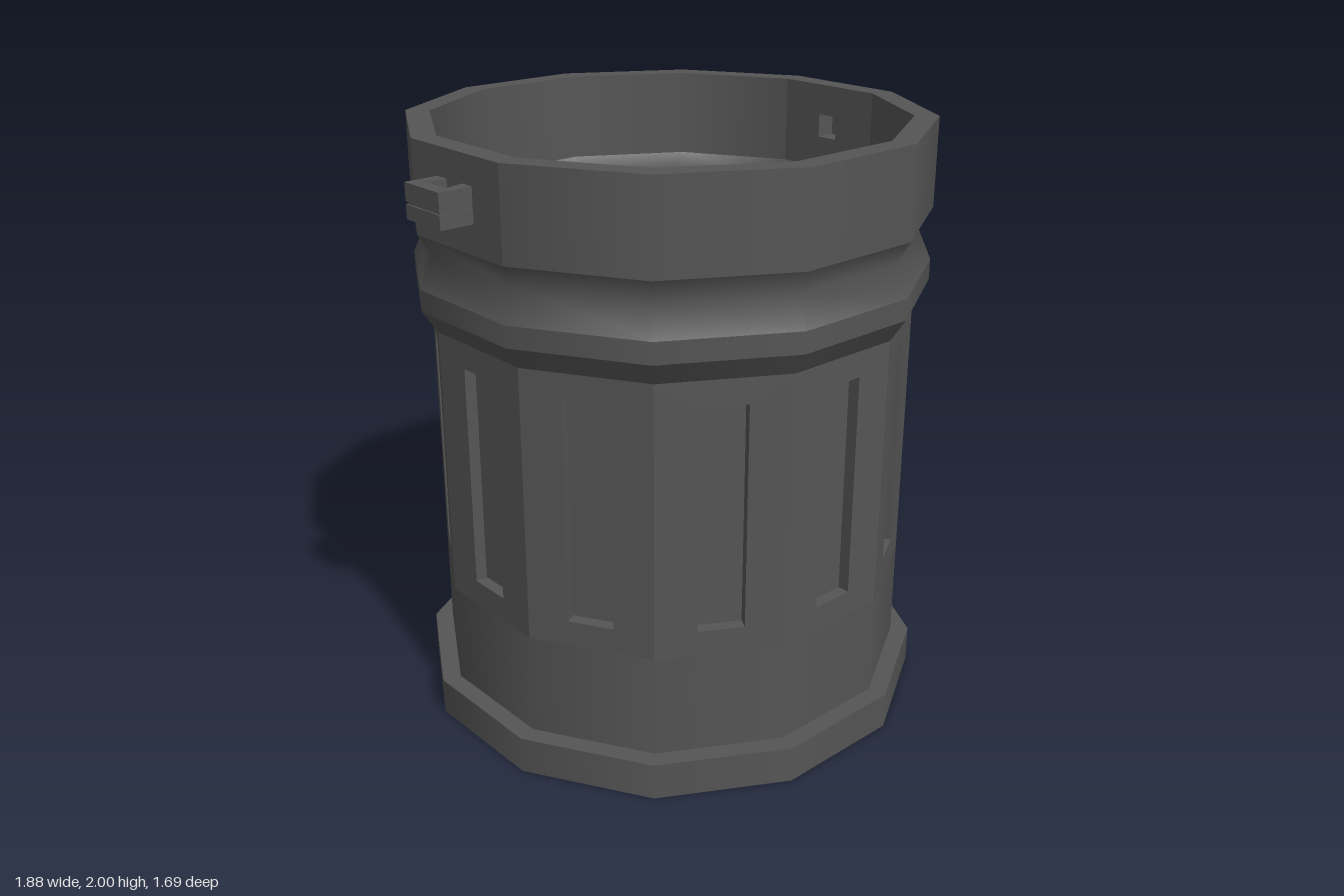
import * as THREE from 'three';

const SIDES = 12;
const STEP = (Math.PI * 2) / SIDES;
const apothem = (r) => r * Math.cos(STEP / 2);
const sideWidth = (r) => 2 * r * Math.sin(STEP / 2);

const metal = new THREE.MeshStandardMaterial({ color: 0x555555 });

function add(parent, name, geometry) {
  const mesh = new THREE.Mesh(geometry, metal);
  mesh.name = name;
  parent.add(mesh);
  return mesh;
}

// Twelve-sided band from [radius, height] points; sides = how many faces, from which face
function band(parent, name, points, firstFace = 0, faces = SIDES) {
  const profile = points.map(([r, y]) => new THREE.Vector2(r, y));
  return add(parent, name,
    new THREE.LatheGeometry(profile, faces, (firstFace - 0.5) * STEP, faces * STEP));
}

function rectangle(PathType, x, y, w, h) {
  return new PathType([[x - w / 2, y], [x + w / 2, y], [x + w / 2, y + h], [x - w / 2, y + h]]
    .map((p) => new THREE.Vector2(...p)));
}

// Flat wall panel with a rectangular opening, standing on one side of the can
function wallPanel(rIn, rOut, y0, y1, holeW, holeY0, holeY1) {
  const shape = rectangle(THREE.Shape, 0, y0, sideWidth(rOut), y1 - y0);
  shape.holes.push(rectangle(THREE.Path, 0, holeY0, holeW, holeY1 - holeY0));
  const depth = apothem(rOut) - apothem(rIn);
  return new THREE.ExtrudeGeometry(shape, { depth, bevelEnabled: false })
    .translate(0, 0, apothem(rIn));
}

// Slice of the lug: a loop standing out from the wall with a vertical hole
function lugSlice(y0, y1, inset) {
  const shape = rectangle(THREE.Shape, 0, 0.8, 0.175 - 2 * inset, 0.14 - inset);
  shape.holes.push(new THREE.Path([[-0.04, 0.828], [0.04, 0.828], [0.055, 0.895], [-0.055, 0.895]]
    .map((p) => new THREE.Vector2(...p))));
  return new THREE.ExtrudeGeometry(shape, { depth: y1 - y0, bevelEnabled: false })
    .rotateX(Math.PI / 2).translate(0, y1, 0);
}

export function createModel() {
  const can = new THREE.Group();
  can.name = 'trashCan';
  can.rotation.y = THREE.MathUtils.degToRad(1);

  // Base
  band(can, 'underside', [[0, 0], [0.873, 0]]);
  band(can, 'baseFlange', [[0.873, 0], [0.873, 0.125]]);
  band(can, 'baseLedge', [[0.873, 0.125], [0.81, 0.125]]);
  band(can, 'lowerWall', [[0.81, 0.125], [0.81, 0.47]]);

  // Slotted body: a pierced panel and a wider backing plate on every side
  for (let i = 0; i < SIDES; i++) {
    const side = new THREE.Group();
    side.name = 'slottedSide';
    side.rotation.y = i * STEP;
    add(side, 'wallPanel', wallPanel(0.735, 0.81, 0.47, 1.385, 0.15, 0.555, 1.3));
    add(side, 'slotPlate',
      new THREE.BoxGeometry(0.265, 0.86, 0.057).translate(0, 0.928, 0.7135));
    can.add(side);
  }

  // Bulge and neck
  band(can, 'bulgeUnderside', [[0.81, 1.385], [0.859, 1.46]]);
  band(can, 'bulge', [[0.859, 1.46], [0.859, 1.53]]);
  band(can, 'neck', [[0.859, 1.53], [0.815, 1.63], [0.857, 1.705]]);

  // Rim, left open at the two sides that carry lugs
  for (const first of [4, 10]) {
    band(can, 'rimOutside', [[0.857, 1.705], [0.857, 2]], first, 5);
    band(can, 'rimInside', [[0.778, 2], [0.778, 1.705]], first, 5);
  }
  band(can, 'rimTop', [[0.857, 2], [0.778, 2]]);

  // Inside
  band(can, 'innerNeck', [[0.778, 1.705], [0.74, 1.63], [0.785, 1.53]]);
  band(can, 'innerBulge', [[0.785, 1.53], [0.785, 1.46]]);
  band(can, 'innerBulgeUnderside', [[0.785, 1.46], [0.735, 1.385]]);
  band(can, 'innerLowerWall', [[0.735, 0.47], [0.735, 0.07]]);
  band(can, 'floor', [[0.735, 0.07], [0, 0.07]]);

  // Lugs on the left and right
  for (const s of [1, -1]) {
    const lug = new THREE.Group();
    lug.name = s > 0 ? 'leftLug' : 'rightLug';
    lug.rotation.y = (s * Math.PI) / 2;
    add(lug, 'lugWall', wallPanel(0.778, 0.857, 1.705, 2, 0.08, 1.815, 1.895));
    // Two halves with a shallow groove between them
    for (const [y0, y1, inset] of [[1.8, 1.845, 0], [1.845, 1.853, 0.006], [1.853, 1.91, 0]]) {
      const ring = add(lug, 'lugLoop', lugSlice(y0, y1, inset));
      // Start the loop just inside the outer wall face
      ring.position.z = 0.0;
      const p = ring.geometry.attributes.position;
      for (let i = 0; i < p.count; i++) if (p.getZ(i) < 0.81) p.setZ(i, 0.822);
    }
    can.add(lug);
  }
  return can;
}
